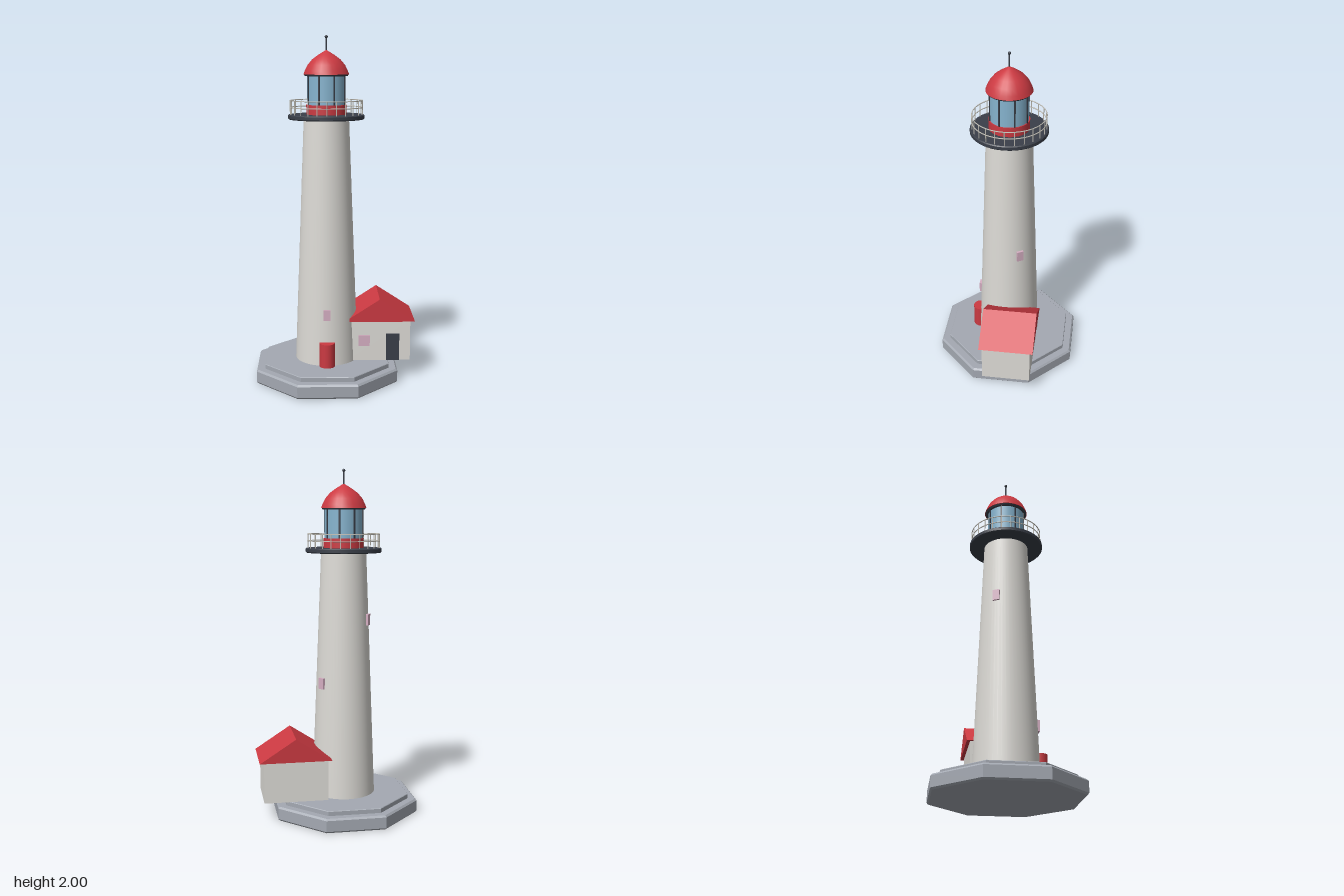
import * as THREE from 'three';
import { toCreasedNormals } from 'three/addons/utils/BufferGeometryUtils.js';

const material = (name, color, extra = {}) =>
  Object.assign(new THREE.MeshStandardMaterial({ color }), { name, ...extra });

const stone = material('stone', 0xa4a9b2);
const white = material('white wall', 0xdedcd7);
const red = material('red paint', 0xcc3a42);
const dark = material('dark metal', 0x3a3f49);
const glass = material('lantern glass', 0x86b4cf);
const pane = material('window pane', 0xd6afc3);
const rail = material('railing', 0xc4c1b8);

const AXIS = -0.055; // x of the tower axis
const BASE = 0.11; // ground level on top of the plinth
const TOWER_TOP = 1.53;
const towerRadius = (y) => 0.185 - 0.055 * (y - BASE) / (TOWER_TOP - BASE);

export function createModel() {
  const model = new THREE.Group();
  model.name = 'lighthouse';
  const tower = new THREE.Group();
  tower.name = 'tower';
  tower.position.x = AXIS;
  const house = new THREE.Group();
  house.name = 'house';
  model.add(tower, house);

  const add = (parent, name, geometry, mat, x = 0, y = 0, z = 0) => {
    const mesh = new THREE.Mesh(geometry, mat);
    mesh.name = name;
    mesh.position.set(x, y, z);
    parent.add(mesh);
    return mesh;
  };
  const turned = (points, sides, crease = 0.5, start = 0) => toCreasedNormals(
    new THREE.LatheGeometry(points.map(([r, y]) => new THREE.Vector2(r, y)), sides, start), crease);
  const box = (w, h, d) => new THREE.BoxGeometry(w, h, d);

  // Octagonal plinth in two steps; the radius is given to the flats
  const slab = (name, flat, y0, y1, bevel) => {
    const r = flat / Math.cos(Math.PI / 8);
    add(tower, name, turned([[0, y0], [r - bevel, y0], [r, y0 + bevel],
      [r, y1 - bevel], [r - bevel, y1], [0, y1]], 8, 0.3, Math.PI / 8), stone);
  };
  slab('lowerPlinth', 0.41, 0, 0.083, 0.01);
  slab('upperPlinth', 0.361, 0.08, BASE, 0.003);

  // Tapering shaft
  add(tower, 'shaft', turned([[0, BASE - 0.01], [0.185, BASE - 0.01], [0.185, BASE],
    [0.13, TOWER_TOP + 0.01]], 48), white);

  // Rounded tower door
  add(tower, 'towerDoor', new THREE.CylinderGeometry(0.045, 0.045, 0.14, 16), red, 0, BASE + 0.07, 0.183);

  // Windows climbing the shaft a third of a turn at a time
  for (let i = 0; i < 3; i++) {
    const y = 0.413 + i * 0.366;
    const a = i * Math.PI * 2 / 3;
    const r = towerRadius(y);
    const window = add(tower, 'towerWindow', box(0.04, 0.064, 0.024), pane,
      Math.sin(a) * r, y, Math.cos(a) * r);
    window.rotation.y = a;
  }

  // Gallery deck
  add(tower, 'galleryDeck', turned([[0, 1.528], [0.214, 1.528], [0.219, 1.533],
    [0.219, 1.55], [0.214, 1.555], [0, 1.555]], 40), dark);

  // Gallery railing
  const railing = new THREE.Group();
  railing.name = 'galleryRailing';
  tower.add(railing);
  for (const y of [1.595, 1.634]) {
    const ring = add(railing, 'rail', new THREE.TorusGeometry(0.207, 0.003, 6, 48), rail, 0, y);
    ring.rotation.x = Math.PI / 2;
  }
  const post = new THREE.CylinderGeometry(0.0028, 0.0028, 0.082, 6);
  for (let i = 0; i < 24; i++) {
    const a = i * Math.PI / 12;
    add(railing, 'railPost', post, rail, Math.sin(a) * 0.207, 1.594, Math.cos(a) * 0.207);
  }

  // Lantern room
  add(tower, 'lanternBase', new THREE.CylinderGeometry(0.115, 0.115, 0.06, 32), red, 0, 1.58);
  add(tower, 'lanternGlass', new THREE.CylinderGeometry(0.109, 0.109, 0.172, 32), glass, 0, 1.694);
  for (let i = 0; i < 8; i++) {
    const a = (i + 0.5) * Math.PI / 4;
    const bar = add(tower, 'glazingBar', box(0.009, 0.17, 0.009), dark,
      Math.sin(a) * 0.109, 1.693, Math.cos(a) * 0.109);
    bar.rotation.y = a;
  }

  // Domed cap, eave, spike and ball
  add(tower, 'eave', new THREE.CylinderGeometry(0.127, 0.122, 0.01, 24), dark, 0, 1.776);
  add(tower, 'cap', turned([[0, 1.78], [0.13, 1.78], [0.123, 1.8], [0.107, 1.833],
    [0.08, 1.865], [0.046, 1.89], [0, 1.918]], 24, 0.8), red);
  add(tower, 'spike', new THREE.CylinderGeometry(0.004, 0.004, 0.08, 8), dark, 0, 1.95);
  add(tower, 'spikeBall', new THREE.SphereGeometry(0.009, 12, 8), dark, 0, 1.991);

  // Keeper's house walls
  add(house, 'walls', box(0.37, 0.245, 0.285), white, 0.25, 0.2355, -0.042);

  // Gabled roof as a solid prism
  const gable = new THREE.Shape();
  gable.moveTo(-0.208, 0);
  gable.lineTo(0.208, 0);
  gable.lineTo(0, 0.135);
  gable.closePath();
  add(house, 'roof', new THREE.ExtrudeGeometry(gable, { depth: 0.32, bevelEnabled: false }),
    red, 0.253, 0.352, -0.204);

  // House door and window
  add(house, 'houseDoor', box(0.077, 0.16, 0.009), dark, 0.332, 0.195, 0.104);
  add(house, 'houseWindow', box(0.067, 0.066, 0.009), pane, 0.163, 0.235, 0.104);

  return model;
}
